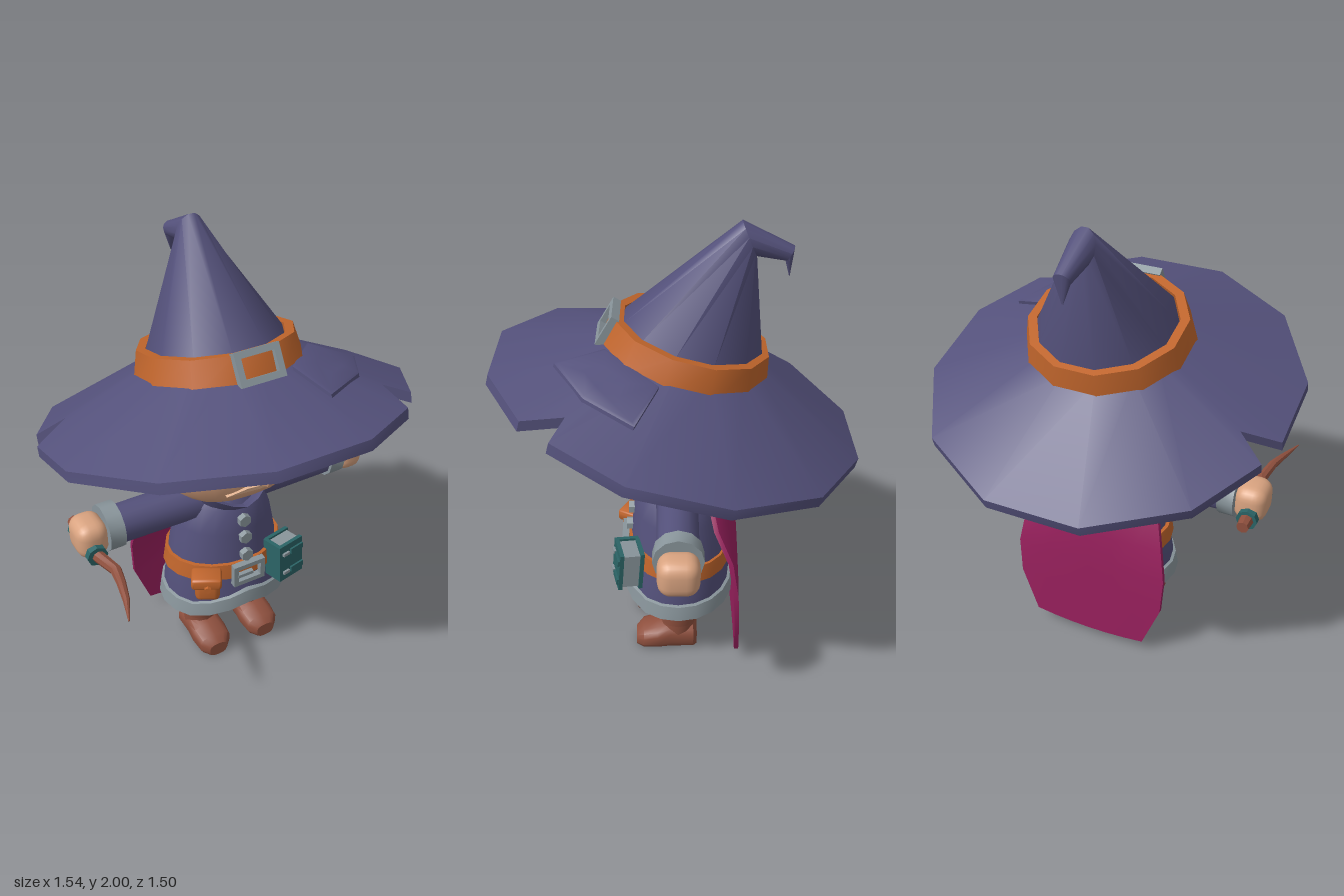
import * as THREE from 'three';
import { toCreasedNormals } from 'three/addons/utils/BufferGeometryUtils.js';
import { RoundedBoxGeometry } from 'three/addons/geometries/RoundedBoxGeometry.js';

const PI = Math.PI;
const mat = (name, color) => Object.assign(new THREE.MeshStandardMaterial({ color }), { name });
const navy = mat('navy cloth', 0x54517b), orange = mat('orange leather', 0xc0652c), grey = mat('grey metal', 0x89959b);
const skin = mat('skin', 0xd9a380), lip = mat('lips', 0xe3b492), black = mat('black hair', 0x202020);
const brown = mat('brown leather', 0x8f503e), crimson = mat('crimson cape', 0x98205d), teal = mat('teal', 0x2b6466);

function add(parent, name, geo, material, pos = [0, 0, 0], rot = [0, 0, 0]) {
  const m = new THREE.Mesh(toCreasedNormals(geo, 0.7), material);
  m.name = name;
  m.position.set(...pos);
  m.rotation.set(...rot);
  parent.add(m);
  return m;
}

// Skins rings of equal length; ends are capped, or joined when loop is true. Always faces outward.
function loft(rings, loop = false) {
  const n = rings[0].length, pts = rings.flat(), idx = [];
  for (let r = 0; r < rings.length - (loop ? 0 : 1); r++) {
    const s = ((r + 1) % rings.length) * n;
    for (let i = 0; i < n; i++) {
      const j = (i + 1) % n, a = r * n + i, b = r * n + j;
      idx.push(a, b, s + j, a, s + j, s + i);
    }
  }
  if (!loop) {
    [0, rings.length - 1].forEach((r, end) => {
      const c = pts.length;
      pts.push([0, 1, 2].map(k => rings[r].reduce((t, p) => t + p[k], 0) / n));
      for (let i = 0; i < n; i++) {
        const a = r * n + i, b = r * n + (i + 1) % n;
        end ? idx.push(a, b, c) : idx.push(b, a, c);
      }
    });
  }
  const v = pts.map(p => new THREE.Vector3(...p));
  let volume = 0;
  for (let i = 0; i < idx.length; i += 3) volume += v[idx[i]].dot(v[idx[i + 1]].clone().cross(v[idx[i + 2]]));
  if (volume < 0) idx.reverse();
  const g = new THREE.BufferGeometry().setFromPoints(v);
  g.setIndex(idx);
  g.computeVertexNormals();
  return g;
}

// Horizontal oval ring [y, half width, front z, back z]; angle 0 is the front
function oval([y, w, f, b], { n = 16, e = 2, lift = () => 0, phase = 0 } = {}) {
  const pw = v => Math.sign(v) * Math.abs(v) ** (2 / e);
  return Array.from({ length: n }, (_, i) => {
    const t = -PI + 2 * PI * i / n + phase;
    return [w * pw(Math.sin(t)), y + lift(t), (f + b) / 2 + (f - b) / 2 * pw(Math.cos(t))];
  });
}

function extrude(points, depth, hole) {
  const s = new THREE.Shape(points.map(p => new THREE.Vector2(...p)));
  if (hole) s.holes.push(new THREE.Path(hole.map(p => new THREE.Vector2(...p))));
  return new THREE.ExtrudeGeometry(s, { depth, bevelEnabled: false });
}
const rect = (w, h) => [[-w, -h], [w, -h], [w, h], [-w, h]];
const frame = (w, h, t, d) => extrude(rect(w, h), d, rect(w - t, h - t));
const box = (x, y, z) => new THREE.BoxGeometry(x, y, z);
const cyl = (a, b, h, n = 12) => new THREE.CylinderGeometry(a, b, h, n);

// Head profile: y, half width, front z, back z
const HEAD = [[0.915, 0.15, 0.2, -0.12], [0.95, 0.26, 0.255, -0.2], [1.0, 0.315, 0.292, -0.26],
  [1.08, 0.345, 0.308, -0.3], [1.25, 0.355, 0.31, -0.32], [1.5, 0.32, 0.29, -0.3]];
function headRow(y) {
  let i = 0;
  while (i < HEAD.length - 2 && y > HEAD[i + 1][0]) i++;
  const a = HEAD[i], b = HEAD[i + 1], k = (y - a[0]) / (b[0] - a[0]);
  return a.map((v, q) => v + (b[q] - v) * k);
}
function faceZ(x, y) {
  const [, w, f, b] = headRow(y);
  return (f + b) / 2 + (f - b) / 2 * Math.max(0, 1 - Math.abs(x / w) ** 2.5) ** 0.4;
}
function facePlate(points, depth) {
  const g = extrude(points, depth), p = g.attributes.position;
  for (let i = 0; i < p.count; i++) p.setZ(i, p.getZ(i) - 0.004 + faceZ(p.getX(i), p.getY(i)));
  g.computeVertexNormals();
  return g;
}

function buildHat(root) {
  const hat = new THREE.Group();
  hat.name = 'hat';
  hat.position.y = 1.24;
  hat.rotation.x = -0.262;
  root.add(hat);
  // Twelve-sided sloping brim with two torn notches
  const dist = (x, z) => Math.max(...Array.from({ length: 12 }, (_, k) => x * Math.cos(k * PI / 6) + z * Math.sin(k * PI / 6)));
  const slope = (x, z) => (0.77 - dist(x, z)) * 0.47;
  const outline = [[0.77, 0.2], [0.6, 0.49], [0.49, 0.45], [0.49, 0.61], [0.2, 0.77], [-0.2, 0.77], [-0.56, 0.56], [-0.77, 0.2],
    [-0.77, -0.14], [-0.62, -0.19], [-0.73, -0.27], [-0.56, -0.56], [-0.2, -0.77], [0.2, -0.77], [0.56, -0.56], [0.77, -0.2]];
  const brimRing = (d, dy) => outline.map(([x, z]) => {
    const k = d ? d / dist(x, z) : 1;
    return [x * k, slope(x * k, z * k) + dy, z * k];
  });
  add(hat, 'brim', loft([brimRing(0, 0.015), brimRing(0, -0.03), brimRing(0.27, -0.03), brimRing(0.27, 0.015)], true), navy);
  const patch = [[0.36, 0.13], [0.54, 0.2], [0.42, 0.4], [0.2, 0.53], [0.15, 0.35]];
  const patchRing = (k, dy) => patch.map(([x, z]) => {
    const px = 0.34 + (x - 0.34) * k, pz = 0.33 + (z - 0.33) * k;
    return [px, slope(px, pz) + dy, pz];
  });
  add(hat, 'brimPatch', loft([patchRing(1, 0), patchRing(1, 0.03), patchRing(0.92, 0.035), patchRing(0.4, 0.035)]), navy);
  // Crown: each section runs from a front point to a back point (z, y) with a half width
  const crown = [[0.32, 0.19, -0.29, 0.19, 0.3], [0.305, 0.31, -0.28, 0.31, 0.285], [-0.045, 0.8, -0.139, 0.68, 0.055],
    [-0.269, 0.755, -0.25, 0.69, 0.035], [-0.287, 0.635, -0.283, 0.635, 0.004]];
  add(hat, 'crown', loft(crown.map(([z1, y1, z2, y2, w]) => Array.from({ length: 12 }, (_, i) => {
    const t = (i + 0.5) * PI / 6, c = Math.cos(t) / 2;
    return [w * Math.sin(t), (y1 + y2) / 2 + (y1 - y2) * c, (z1 + z2) / 2 + (z1 - z2) * c];
  }))), navy);
  const ring12 = (y, r) => oval([y, r, r + 0.02, -r + 0.02], { n: 12, phase: PI / 12 });
  add(hat, 'hatBand', loft([ring12(0.17, 0.362), ring12(0.315, 0.328), ring12(0.315, 0.29), ring12(0.17, 0.29)], true), orange);
  add(hat, 'hatBuckle', frame(0.1, 0.068, 0.027, 0.035), grey, [0, 0.255, 0.338], [-0.28, 0, 0]);
}

function buildHead(root) {
  const head = new THREE.Group();
  head.name = 'head';
  root.add(head);
  add(head, 'face', loft([...HEAD.slice(0, 5), headRow(1.36)].map(r => oval(r, { n: 24, e: 2.5 }))), skin);
  // Hair shell with a hairline that drops from the brow to the nape
  const line = [[0, 1.385], [0.25, 1.36], [0.6, 1.33], [0.95, 1.24], [1.3, 1.17], [1.7, 1.09], [2.1, 1.03], [PI, 1.01]];
  const hairline = t => {
    const a = Math.abs(t);
    let i = 0;
    while (i < line.length - 2 && a > line[i + 1][0]) i++;
    return line[i][1] + (line[i + 1][1] - line[i][1]) * (a - line[i][0]) / (line[i + 1][0] - line[i][0]);
  };
  const hairRing = (k, grow) => Array.from({ length: 32 }, (_, i) => {
    const t = -PI + i * PI / 16, low = hairline(t), y = low + (1.42 + 0.1 * Math.cos(t) - low) * k;
    const [, w, f, b] = headRow(y), pw = v => Math.sign(v) * Math.abs(v) ** 0.8;
    return [(w + grow) * pw(Math.sin(t)), y, (f + b) / 2 + ((f - b) / 2 + grow) * pw(Math.cos(t))];
  });
  add(head, 'hair', loft([hairRing(0, -0.03), hairRing(0, 0.015), hairRing(0.3, 0.022), hairRing(0.65, 0.022), hairRing(1, 0.015)]), black);
  add(head, 'hairTie', cyl(0.06, 0.085, 0.09, 10), navy, [0, 1.0, -0.335], [-1.0, 0, 0]);
  add(head, 'hairBun', new THREE.SphereGeometry(0.122, 12, 9), black, [0, 0.92, -0.43]);
  for (const s of [-1, 1]) {
    const ear = add(head, 'ear', new THREE.SphereGeometry(1, 8, 6), skin, [s * 0.35, 1.09, -0.005], [0, 0, -s * 0.15]);
    ear.scale.set(0.042, 0.11, 0.047);
    const eye = [[0.11, 1.165], [0.13, 1.15], [0.16, 1.15], [0.18, 1.17], [0.185, 1.235], [0.165, 1.22], [0.125, 1.225], [0.11, 1.205]];
    const brow = [[0.085, 1.245], [0.22, 1.26], [0.23, 1.285], [0.2, 1.31], [0.085, 1.28]];
    add(head, 'eye', facePlate(eye.map(([x, y]) => [x * s, y]), 0.009), black);
    add(head, 'eyebrow', facePlate(brow.map(([x, y]) => [x * s, y]), 0.022), black);
  }
  add(head, 'nose', loft([[[-0.02, 1.21, 0.29], [0, 1.21, 0.315], [0.02, 1.21, 0.29]],
    [[-0.06, 1.085, 0.29], [0, 1.1, 0.385], [0.06, 1.085, 0.29]], [[-0.045, 1.06, 0.29], [0, 1.065, 0.368], [0.045, 1.06, 0.29]]]), skin);
  add(head, 'mouth', facePlate([[-0.145, 1.015], [0, 1.017], [0.145, 1.015], [0.06, 1.04], [0, 1.035], [-0.06, 1.04]], 0.018), lip);
}

function buildBody(root) {
  const peak = t => 0.06 * Math.max(0, 1 - Math.abs(Math.atan2(Math.sin(t), Math.cos(t))) / 0.9);
  const o = { n: 20 }, hem = { n: 20, lift: peak };
  add(root, 'robe', loft([oval([0.29, 0.285, 0.235, -0.24], hem), oval([0.38, 0.28, 0.228, -0.24], o), oval([0.5, 0.262, 0.21, -0.23], o),
    oval([0.7, 0.222, 0.19, -0.205], o), oval([0.82, 0.185, 0.17, -0.18], o), oval([0.9, 0.11, 0.11, -0.13], o)]), navy);
  add(root, 'hemTrim', loft([oval([0.272, 0.308, 0.25, -0.26], hem), oval([0.338, 0.296, 0.243, -0.253], hem),
    oval([0.345, 0.27, 0.22, -0.23], hem), oval([0.272, 0.27, 0.22, -0.23], hem)], true), grey);
  const sag = { n: 20, lift: t => 0.018 * Math.cos(t) };
  add(root, 'belt', loft([oval([0.465, 0.282, 0.228, -0.245], sag), oval([0.54, 0.27, 0.22, -0.238], sag),
    oval([0.54, 0.24, 0.19, -0.2], sag), oval([0.465, 0.24, 0.19, -0.2], sag)], true), orange);
  add(root, 'beltBuckle', frame(0.078, 0.055, 0.022, 0.03), grey, [0, 0.505, 0.215]);
  add(root, 'bucklePin', box(0.075, 0.016, 0.02), grey, [-0.02, 0.505, 0.238]);
  [0.59, 0.68, 0.765].forEach((y, i) => add(root, 'button', cyl(0.03, 0.03, 0.035, 6), grey, [0, y, 0.208 - i * 0.012], [PI / 2, 0, 0]));
  // Open collar, dipping at the throat and rising at the nape
  const rim = { n: 20, lift: t => -0.025 * Math.cos(t) - peak(t) * 0.75 };
  add(root, 'collar', loft([oval([0.8, 0.15, 0.15, -0.17], o), oval([0.925, 0.2, 0.215, -0.27], rim),
    oval([0.92, 0.178, 0.19, -0.25], rim), oval([0.8, 0.11, 0.1, -0.12], o)], true), navy);
  add(root, 'neck', cyl(0.1, 0.1, 0.12), skin, [0, 0.88, 0]);
  // Pouch and book hung on the belt
  add(root, 'pouch', new RoundedBoxGeometry(0.11, 0.12, 0.08, 2, 0.025), orange, [-0.19, 0.475, 0.2], [0, -0.5, 0]);
  add(root, 'pouchFlap', new RoundedBoxGeometry(0.135, 0.055, 0.1, 2, 0.015), orange, [-0.195, 0.52, 0.2], [0, -0.5, 0]);
  add(root, 'pouchStud', cyl(0.016, 0.016, 0.02, 6), orange, [-0.215, 0.505, 0.25], [PI / 2, 0, 0.5]);
  const book = new THREE.Group();
  book.name = 'book';
  book.position.set(0.19, 0.51, 0.215);
  book.rotation.set(-0.08, 0.22, 0);
  root.add(book);
  for (const z of [-0.045, 0.045]) add(book, 'bookCover', box(0.14, 0.185, 0.018), teal, [0, 0, z]);
  add(book, 'bookSpine', box(0.018, 0.185, 0.1), teal, [-0.061, 0, 0]);
  add(book, 'bookPages', box(0.115, 0.165, 0.075), grey, [0.006, 0, 0]);
  for (const y of [-0.05, 0.05]) {
    add(book, 'bookStrap', box(0.075, 0.026, 0.012), teal, [0.03, y, 0.057]);
    add(book, 'bookClasp', box(0.035, 0.014, 0.016), grey, [-0.035, y, 0.057]);
  }
  // Cape: y, half width, z, forward curl of the edges
  const cape = [[0.86, 0.15, -0.19, 0.06], [0.74, 0.28, -0.235, 0.07], [0.6, 0.325, -0.258, 0.03], [0.44, 0.352, -0.266, 0.012],
    [0.27, 0.343, -0.27, 0.008], [0.065, 0.265, -0.275, 0.005]];
  const U = [-1, -0.66, -0.33, 0, 0.33, 0.66, 1];
  add(root, 'cape', loft(cape.map(([y, w, z, c], r) => {
    const side = d => U.map(u => [w * u, y + (r === 5 ? 0.015 * (u * u - 1) : 0), z + c * u * u + d]);
    return [...side(-0.01), ...side(0.01).reverse()];
  })), crimson);
}

function buildLimbs(root) {
  for (const s of [-1, 1]) {
    const side = s > 0 ? 'left' : 'right', flat = [0, 0, PI / 2];
    add(root, side + 'Sleeve', cyl(0.086, 0.09, 0.42), navy, [s * 0.32, 0.815, 0], [0, 0, -s * PI / 2]);
    add(root, side + 'Cuff', cyl(0.104, 0.104, 0.07), grey, [s * 0.548, 0.822, 0], flat);
    add(root, side + 'Hand', new RoundedBoxGeometry(0.14, 0.165, 0.17, 3, 0.055), skin, [s * 0.642, 0.812, 0]);
    add(root, side + 'Leg', cyl(0.075, 0.065, 0.16), navy, [s * 0.125, 0.3, 0]);
    add(root, side + 'BootShaft', cyl(0.078, 0.078, 0.16), brown, [s * 0.125, 0.15, -0.005]);
    add(root, side + 'BootCuff', cyl(0.088, 0.083, 0.1), brown, [s * 0.125, 0.195, -0.005]);
    // Boot foot: z, half width, height
    const foot = [[-0.092, 0.05, 0.1], [-0.075, 0.075, 0.125], [0.03, 0.078, 0.14], [0.09, 0.084, 0.12], [0.155, 0.078, 0.1], [0.188, 0.045, 0.07]];
    add(root, side + 'Boot', loft(foot.map(([z, w, h]) => oval([0, w, h, 0], { n: 14, e: 2.8 }).map(([x, , y]) => [x + s * 0.128, y, z]))), brown);
  }
  // Crooked wand with a ring on each side of the fist: x, y, z, radius
  const wand = [[-0.65, 0.775, -0.16, 0.026], [-0.65, 0.775, -0.1, 0.032], [-0.65, 0.775, 0.1, 0.028], [-0.615, 0.765, 0.21, 0.024],
    [-0.635, 0.782, 0.31, 0.02], [-0.655, 0.773, 0.4, 0.015], [-0.695, 0.778, 0.51, 0.003]];
  add(root, 'wand', loft(wand.map(([x, y, z, r]) => oval([0, r, r, -r], { n: 8 }).map(p => [x + p[0], y + p[2], z]))), brown);
  for (const z of [-0.095, 0.095]) add(root, 'wandRing', cyl(0.046, 0.046, 0.03, 8), teal, [-0.65, 0.775, z], [PI / 2, 0, 0]);
}

export function createModel() {
  const root = new THREE.Group();
  root.name = 'witch';
  buildHat(root);
  buildHead(root);
  buildBody(root);
  buildLimbs(root);
  return root;
}
